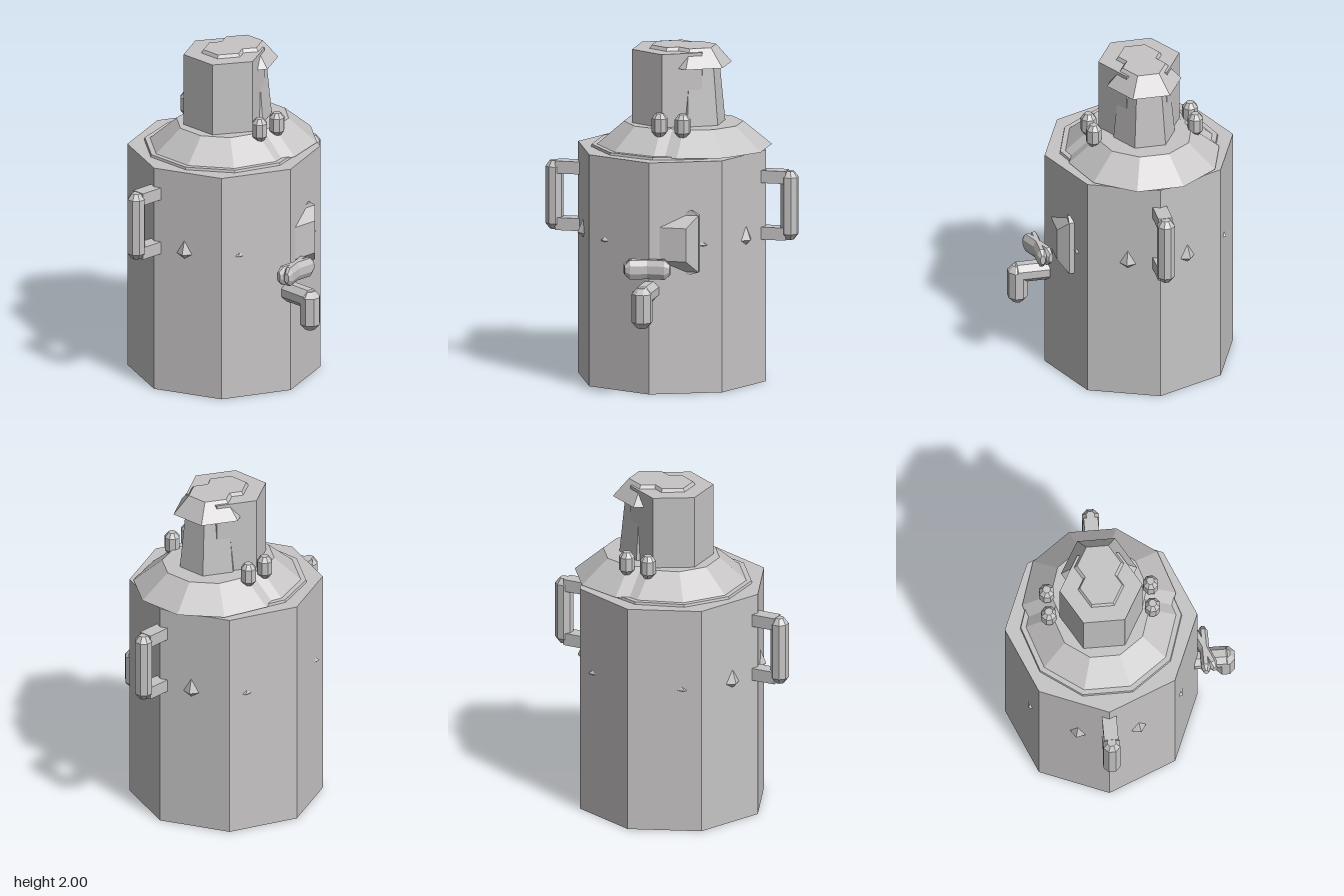
import * as THREE from 'three';

const steel = new THREE.MeshStandardMaterial({ color: 0xc6c4c4, flatShading: true });
steel.name = 'steel grey';
const CZ = -0.11; // z of the can's axis

function add(parent, name, geometry, x = 0, y = 0, z = 0) {
  const mesh = new THREE.Mesh(geometry, steel);
  mesh.name = name;
  mesh.position.set(x, y, z);
  parent.add(mesh);
  return mesh;
}

// Upright faceted frustum between two heights
function frustum(parent, name, rBottom, rTop, y0, y1, sides, x = 0) {
  return add(parent, name, new THREE.CylinderGeometry(rTop, rBottom, y1 - y0, sides), x, (y0 + y1) / 2, CZ);
}

// Eight-sided rod with chamfered ends, along y
function rod(r, length, chamfer = 0.03) {
  const h = length / 2;
  const profile = [[0, -h], [r * 0.5, -h], [r, chamfer - h], [r, h - chamfer], [r * 0.5, h], [0, h]];
  return new THREE.LatheGeometry(profile.map(p => new THREE.Vector2(...p)), 8, Math.PI / 8);
}

// Four-cornered pyramid: base in the local xy plane, tip towards local +z
function spike(top, bottom, halfWidth, out, tipX) {
  const t = [0, top, -0.01], b = [0, -bottom, -0.01], l = [-halfWidth, 0, -0.01], r = [halfWidth, 0, -0.01];
  const tip = [tipX, 0, out];
  const g = new THREE.BufferGeometry();
  const faces = [tip, t, l, tip, l, b, tip, b, r, tip, r, t];
  g.setAttribute('position', new THREE.Float32BufferAttribute(faces.flat(), 3));
  g.computeVertexNormals();
  return g;
}

// Box whose front face is shrunk into a bevel
function bevelledBox() {
  const sections = [ // x0, x1, y0, y1, z
    [0, 0.28, 0.73, 1.07, 0.28], [0, 0.28, 0.73, 1.07, 0.375], [0, 0.22, 0.8, 1.0, 0.435],
  ];
  const pos = [], idx = [];
  for (const [x0, x1, y0, y1, z] of sections) pos.push(x0, y0, z, x1, y0, z, x1, y1, z, x0, y1, z);
  for (let s = 0; s < 2; s++) {
    for (let i = 0; i < 4; i++) {
      const a = s * 4 + i, b = s * 4 + (i + 1) % 4;
      idx.push(a, b, b + 4, a, b + 4, a + 4);
    }
  }
  idx.push(8, 9, 10, 8, 10, 11, 0, 2, 1, 0, 3, 2);
  const g = new THREE.BufferGeometry();
  g.setAttribute('position', new THREE.Float32BufferAttribute(pos, 3));
  g.setIndex(idx);
  g.computeVertexNormals();
  return g;
}

export function createModel() {
  const can = new THREE.Group();
  can.name = 'urn';

  // Body and lid
  frustum(can, 'body', 0.57, 0.57, 0, 1.39, 8);
  frustum(can, 'lidRim', 0.48, 0.475, 1.385, 1.405, 10);
  frustum(can, 'lid', 0.45, 0.285, 1.4, 1.54, 10);
  frustum(can, 'offsetLid', 0.455, 0.285, 1.4, 1.541, 10, 0.14);

  // Neck with its cap, and the hooded chimney beside it
  frustum(can, 'neck', 0.245, 0.245, 1.53, 1.98, 6);
  frustum(can, 'neckCap', 0.14, 0.125, 1.975, 2.0, 6);
  frustum(can, 'chimney', 0.187, 0.15, 1.53, 1.9, 6, 0.14);
  frustum(can, 'chimneyHood', 0.225, 0.13, 1.89, 2.0, 6, 0.14);

  // Lid knobs
  for (const x of [0, 0.14]) {
    for (const z of [0.195, -0.42]) add(can, 'knob', rod(0.047, 0.14), x, 1.57, z);
  }

  // Side handles
  for (const side of [-1, 1]) {
    const handle = new THREE.Group();
    handle.name = side > 0 ? 'leftHandle' : 'rightHandle';
    add(handle, 'grip', rod(0.054, 0.41, 0.035), side * 0.715, 1.065, CZ);
    for (const y of [0.895, 1.235]) {
      add(handle, 'bracket', new THREE.BoxGeometry(0.17, 0.075, 0.085), side * 0.615, y, CZ);
    }
    can.add(handle);
  }

  // Small spikes around the body, one per face
  for (const sx of [-1, 1]) {
    for (const sz of [-1, 1]) {
      const big = add(can, 'largeSpike', spike(0.11, 0.04, 0.065, 0.035, 0), sx * 0.494, 0.88, CZ + sz * 0.18);
      big.rotation.y = Math.atan2(sx * Math.cos(Math.PI / 8), sz * Math.sin(Math.PI / 8));
      const small = add(can, 'smallSpike', spike(0.035, 0.015, 0.05, 0.02, sx * sz * 0.03), sx * 0.285, 0.888, CZ + sz * 0.449);
      small.rotation.y = Math.atan2(sx * Math.sin(Math.PI / 8), sz * Math.cos(Math.PI / 8));
    }
  }

  // Tap: pipe, spout and crossed lever
  const tap = new THREE.Group();
  tap.name = 'tap';
  add(tap, 'pipe', rod(0.062, 0.25), 0, 0.62, 0.535).rotation.x = Math.PI / 2;
  add(tap, 'spout', rod(0.062, 0.24, 0.035), 0, 0.55, 0.625);
  for (const [turn, length] of [[0, 0.28], [0.4, 0.27]]) {
    const bar = add(tap, 'leverBar', rod(0.062, length), 0, 0.76, 0.502);
    bar.rotation.set(0, turn, Math.PI / 2);
    bar.scale.z = 0.5;
  }
  can.add(tap);

  // Front box with its pointed back plate
  add(can, 'frontBox', bevelledBox());
  const plate = new THREE.Shape([[0.09, 0.73], [0.22, 0.71], [0.28, 0.73], [0.28, 1.07], [0.24, 1.1], [0.09, 1.06]]
    .map(p => new THREE.Vector2(...p)));
  add(can, 'frontBoxPlate', new THREE.ExtrudeGeometry(plate, { depth: 0.08, bevelEnabled: false }), 0, 0, 0.295);

  return can;
}
